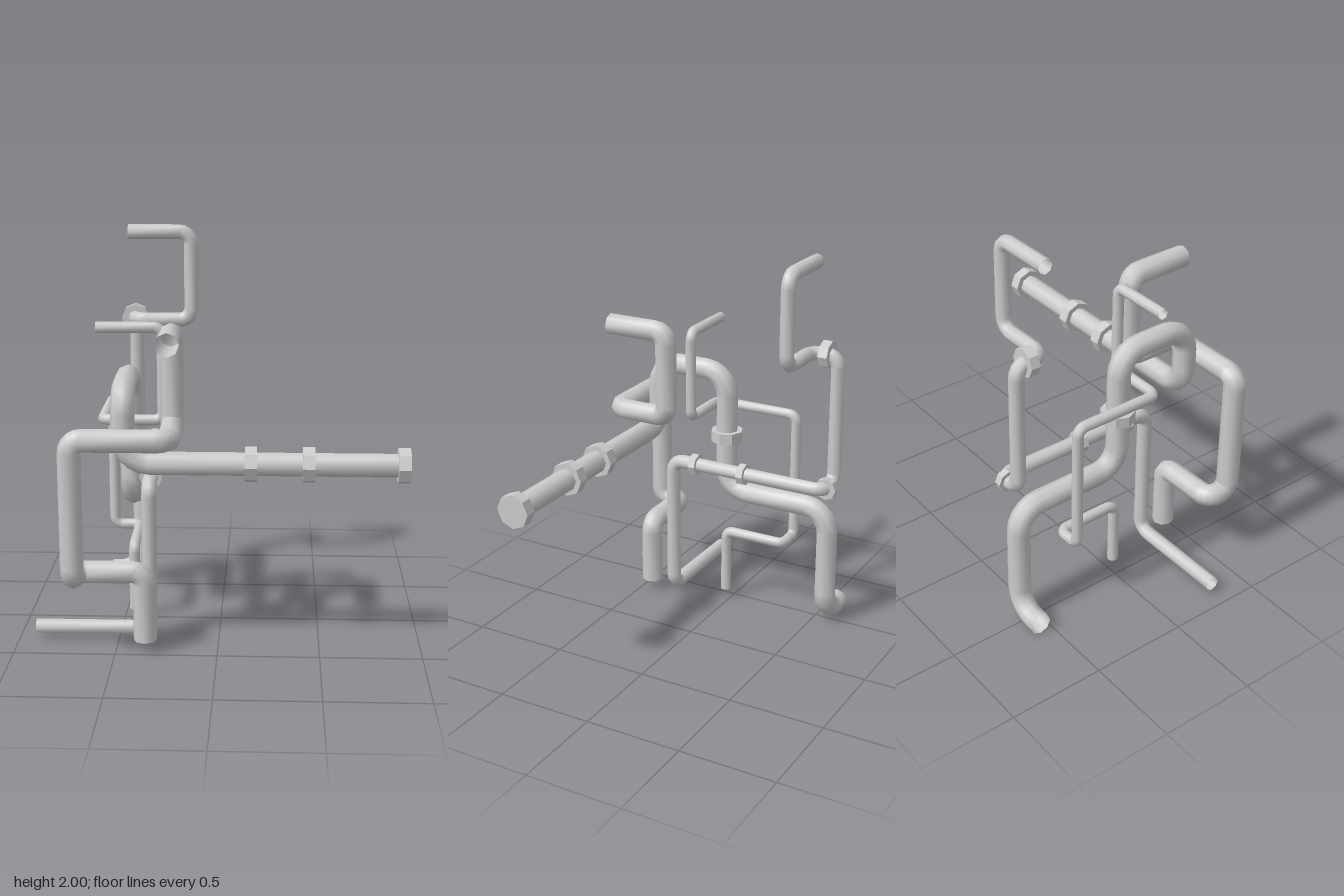
import * as THREE from 'three';

const SIDES = 8, BEND_STEPS = 5;

// Centre line: straight runs joined by quarter-circle elbows
function centreLine(corners, bend) {
  const p = corners.map(c => new THREE.Vector3(...c));
  const line = [{ pos: p[0], dir: p[1].clone().sub(p[0]).normalize() }];
  for (let i = 1; i < p.length - 1; i++) {
    const a = p[i].clone().sub(p[i - 1]).normalize();
    const b = p[i + 1].clone().sub(p[i]).normalize();
    const centre = p[i].clone().addScaledVector(a, -bend).addScaledVector(b, bend);
    for (let s = 0; s <= BEND_STEPS; s++) {
      const t = (s / BEND_STEPS) * Math.PI / 2;
      line.push({
        pos: centre.clone().addScaledVector(b, -bend * Math.cos(t)).addScaledVector(a, bend * Math.sin(t)),
        dir: a.clone().multiplyScalar(Math.cos(t)).addScaledVector(b, Math.sin(t)),
      });
    }
  }
  const n = p.length - 1;
  line.push({ pos: p[n], dir: p[n].clone().sub(p[n - 1]).normalize() });
  return line;
}

// Open-ended tube swept along the centre line
function pipeGeometry(corners, radius, bend) {
  const line = centreLine(corners, bend);
  const positions = [], index = [];
  const d0 = line[0].dir;
  const u = Math.abs(d0.y) > 0.5 ? new THREE.Vector3(1, 0, 0) : new THREE.Vector3(0, 1, 0);
  const turn = new THREE.Quaternion();
  line.forEach(({ pos, dir }, i) => {
    if (i > 0) u.applyQuaternion(turn.setFromUnitVectors(line[i - 1].dir, dir));
    const v = dir.clone().cross(u);
    for (let k = 0; k < SIDES; k++) {
      const t = (k / SIDES) * Math.PI * 2;
      const q = pos.clone().addScaledVector(u, radius * Math.cos(t)).addScaledVector(v, radius * Math.sin(t));
      positions.push(q.x, q.y, q.z);
      if (i > 0) {
        const k2 = (k + 1) % SIDES, r0 = (i - 1) * SIDES, r1 = i * SIDES;
        index.push(r0 + k, r0 + k2, r1 + k, r0 + k2, r1 + k2, r1 + k);
      }
    }
  });
  const g = new THREE.BufferGeometry();
  g.setAttribute('position', new THREE.Float32BufferAttribute(positions, 3));
  g.setIndex(index);
  g.computeVertexNormals();
  return g;
}

const PIPES = [
  { // thick pipe with the long straight arm
    name: 'mainPipe', radius: 0.058, bend: 0.125,
    corners: [[0.91, 0.96, 0.445], [-0.45, 0.96, 0.445], [-0.45, 1.32, 0.445], [-0.45, 1.32, 0.03],
      [-0.45, 0.66, 0.03], [-0.45, 0.66, -0.57], [-0.45, 0.06, -0.57], [-0.625, 0.06, -0.57]],
    flanges: [['x', 0.885, 0.96, 0.445], ['x', 0.435, 0.96, 0.445], ['x', 0.16, 0.96, 0.445], ['y', -0.45, 0.97, 0.03]],
    flangeRadius: 0.087, flangeWidth: 0.058,
  },
  { // thick pipe folded at the front
    name: 'frontPipe', radius: 0.057, bend: 0.06,
    corners: [[-0.225, 1.56, 0.605], [-0.225, 1.56, 0.272], [-0.225, 1.1, 0.272], [-0.225, 1.1, 0.573],
      [-0.69, 1.1, 0.573], [-0.69, 0.41, 0.573], [-0.69, 0.41, 0.445], [-0.355, 0.41, 0.445], [-0.355, 0.06, 0.445]],
  },
  { // medium pipe rising to the top
    name: 'tallPipe', radius: 0.038, bend: 0.064,
    corners: [[-0.915, 0.065, 0.298], [-0.343, 0.065, 0.298], [-0.343, 0.812, 0.298], [-0.343, 0.812, -0.585],
      [-0.475, 0.812, -0.585], [-0.475, 1.5, -0.585], [-0.475, 1.5, -0.44], [-0.172, 1.5, -0.44],
      [-0.172, 1.963, -0.44], [-0.5, 1.963, -0.44]],
    flanges: [['z', -0.343, 0.812, 0.16], ['z', -0.343, 0.812, -0.125],
      ['x', -0.385, 0.812, -0.585], ['z', -0.475, 1.5, -0.525, 0.072, 0.05]],
    flangeRadius: 0.058, flangeWidth: 0.038,
  },
  { // thin pipe
    name: 'thinPipe', radius: 0.028, bend: 0.042,
    corners: [[-0.605, 1.563, 0.155], [-0.28, 1.563, 0.155], [-0.28, 1.1, 0.155], [-0.58, 1.1, 0.155],
      [-0.58, 1.1, -0.315], [-0.58, 0.41, -0.315], [-0.445, 0.41, -0.315], [-0.445, 0.41, 0.025], [-0.445, 0.06, 0.025]],
  },
];

export function createModel() {
  const model = new THREE.Group();
  model.name = 'pipework';
  const pipeMaterial = new THREE.MeshStandardMaterial({ color: 0xcccccc, side: THREE.DoubleSide });
  const flangeMaterial = new THREE.MeshStandardMaterial({ color: 0xcccccc, flatShading: true });

  for (const { name, corners, radius, bend, flanges = [], flangeRadius, flangeWidth } of PIPES) {
    const group = new THREE.Group();
    group.name = name;
    const pipe = new THREE.Mesh(pipeGeometry(corners, radius, bend), pipeMaterial);
    pipe.name = name + 'Tube';
    group.add(pipe);

    // Eight-sided collars around the pipe
    for (const [axis, x, y, z, r = flangeRadius, w = flangeWidth] of flanges) {
      const flange = new THREE.Mesh(new THREE.CylinderGeometry(r, r, w, 8), flangeMaterial);
      flange.name = 'flange';
      if (axis === 'x') flange.rotation.z = Math.PI / 2;
      if (axis === 'z') flange.rotation.x = Math.PI / 2;
      flange.position.set(x, y, z);
      group.add(flange);
    }
    model.add(group);
  }
  return model;
}
